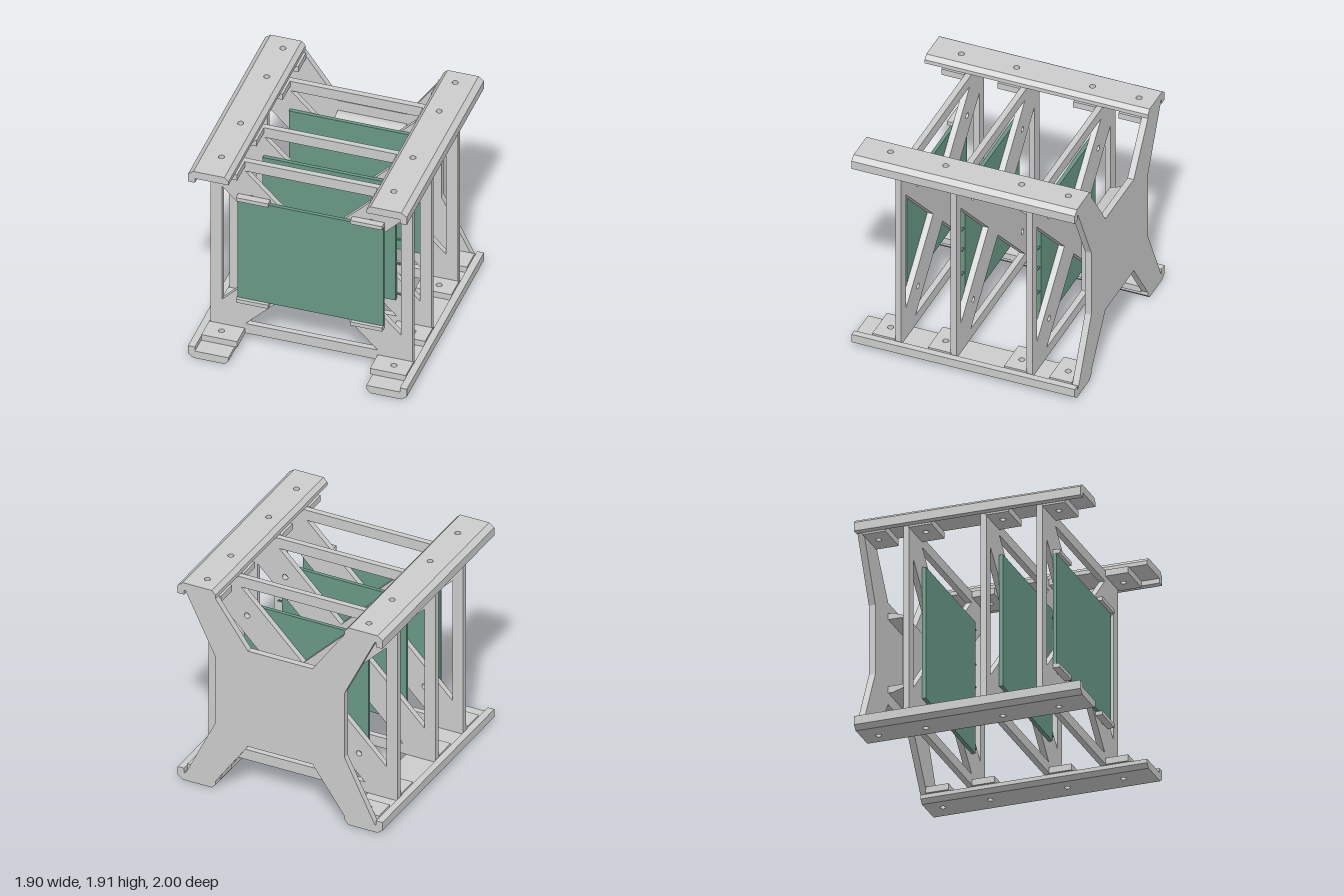
import * as THREE from 'three';

const grey = new THREE.MeshStandardMaterial({ color: 0xcccccc, flatShading: true });
const green = new THREE.MeshStandardMaterial({ color: 0x699886, flatShading: true });
const MID = 0.957; // height of the frame's centre

function poly(points) {
  return new THREE.Shape(points.map(([x, y]) => new THREE.Vector2(x, y)));
}

function hole(x, y, r = 0.026) {
  return new THREE.Path().absarc(x, y, r, 0, Math.PI * 2, true);
}

function mesh(name, geometry, material = grey) {
  const m = new THREE.Mesh(geometry, material);
  m.name = name;
  return m;
}

// Outline in x/y, extruded from z0 to z1
function extrudeZ(shape, z0, z1) {
  return new THREE.ExtrudeGeometry(shape, { depth: z1 - z0, bevelEnabled: false, curveSegments: 10 })
    .translate(0, 0, z0);
}

function box(name, x0, x1, y0, y1, z0, z1, material) {
  const g = new THREE.BoxGeometry(x1 - x0, y1 - y0, z1 - z0);
  return mesh(name, g.translate((x0 + x1) / 2, (y0 + y1) / 2, (z0 + z1) / 2), material);
}

// Horizontal slab with vertical screw holes
function slab(name, x0, x1, z0, z1, y0, y1, holes) {
  const s = poly([[x0, -z1], [x1, -z1], [x1, -z0], [x0, -z0]]);
  s.holes = holes.map(([x, z]) => hole(x, -z));
  const g = new THREE.ExtrudeGeometry(s, { depth: y1 - y0, bevelEnabled: false, curveSegments: 10 });
  return mesh(name, g.rotateX(-Math.PI / 2).translate(0, y0, 0));
}

const screwZ = [-0.857, -0.44, 0.24, 0.735];
const plateZ = [-0.59, 0.09, 0.585]; // back faces of the three inner frames
const tabZ = [-0.945, -0.54, 0.14, 0.64];

// One corner rail with the tabs screwed under it; y is relative to MID
function rail() {
  const g = new THREE.Group();
  g.name = 'cornerRail';
  g.add(slab('railWeb', 0.635, 0.905, -1, 1, 0.885, 0.956, screwZ.map(z => [0.75, z])));
  g.add(mesh('railInnerEdge', extrudeZ(
    poly([[0.6, 0.885], [0.635, 0.885], [0.635, 0.956], [0.6, 0.92]]), -1, 1)));
  g.add(mesh('railOuterLip', extrudeZ(
    poly([[0.905, 0.956], [0.892, 0.885], [0.892, 0.843], [0.952, 0.843], [0.952, 0.92]]), -1, 1)));
  tabZ.forEach((z, i) =>
    g.add(slab('mountingTab', 0.578, 0.89, z, z + 0.2, 0.828, 0.885, [[0.75, screwZ[i]]])));
  return g;
}

// Square frame with X bracing: four triangular windows
function framePlate(z) {
  const w = 0.879, inX = 0.778, inY = 0.782;
  const s = poly([[-w, -w], [w, -w], [w, w], [-w, w]]);
  for (const k of [1, -1]) {
    s.holes.push(poly([[-0.575 * k, inY * k], [0.575 * k, inY * k], [0, 0.207 * k]]));
    s.holes.push(poly([[inX * k, 0.58 * k], [inX * k, -0.58 * k], [0.2 * k, 0]]));
    for (const j of [1, -1]) s.holes.push(hole(0.52 * k, 0.52 * j));
  }
  const m = mesh('framePlate', extrudeZ(s, z, z + 0.052));
  m.position.y = MID;
  return m;
}

// Solid centre with four arms running to the rails
function backPanel() {
  const quarter = [[0.6, 0.315], [0.88, 0.885], [0.6, 0.885], [0.3, 0.463]];
  const flipX = p => p.map(([x, y]) => [-x, y]).reverse();
  const top = [...quarter, ...flipX(quarter)];
  const bottom = top.map(([x, y]) => [-x, -y]);
  const m = mesh('backPanel', extrudeZ(poly([...top, ...bottom]), -1, -0.943));
  m.position.y = MID;
  return m;
}

// Open-sided bracket on the inside of the back panel
function backBracket() {
  const s = poly([[-0.945, 0.6], [-0.9, 0.6], [-0.786, 0.637], [-0.786, 1.28], [-0.9, 1.322],
    [-0.945, 1.322], [-0.945, 1.268], [-0.819, 1.268], [-0.819, 0.66], [-0.945, 0.66]]
    .map(([z, y]) => [-z, y]));
  return mesh('backBracket', extrudeZ(s, -0.3, 0.3).rotateY(Math.PI / 2));
}

export function createModel() {
  const model = new THREE.Group();
  model.name = 'satelliteFrame';

  // Four mirrored rails
  for (const sx of [1, -1]) for (const sy of [1, -1]) {
    const r = rail();
    r.scale.set(sx, sy, 1);
    r.position.y = MID;
    model.add(r);
  }

  plateZ.forEach(z => model.add(framePlate(z)));
  model.add(backPanel(), backBracket());

  // Two inner circuit boards with small edge pins
  for (const z of [-0.538, 0.142]) {
    model.add(box('innerBoard', -0.58, 0.577, 0.36, 1.555, z, z + 0.033, green));
    for (const y of [0.42, 0.735, 0.98, 1.185, 1.5])
      model.add(box('edgePin', 0.577, 0.62, y - 0.006, y + 0.006, z + 0.008, z + 0.024, green));
  }

  // Front circuit board held by four corner clips
  model.add(box('frontBoard', -0.635, 0.638, 0.455, 1.46, 0.637, 0.668, green));
  for (const sx of [1, -1]) for (const y of [0.42, 1.46]) {
    const x = sx * 0.497;
    model.add(box('boardClip', x - 0.139, x + 0.139, y, y + 0.036, 0.636, 0.698));
  }
  return model;
}
